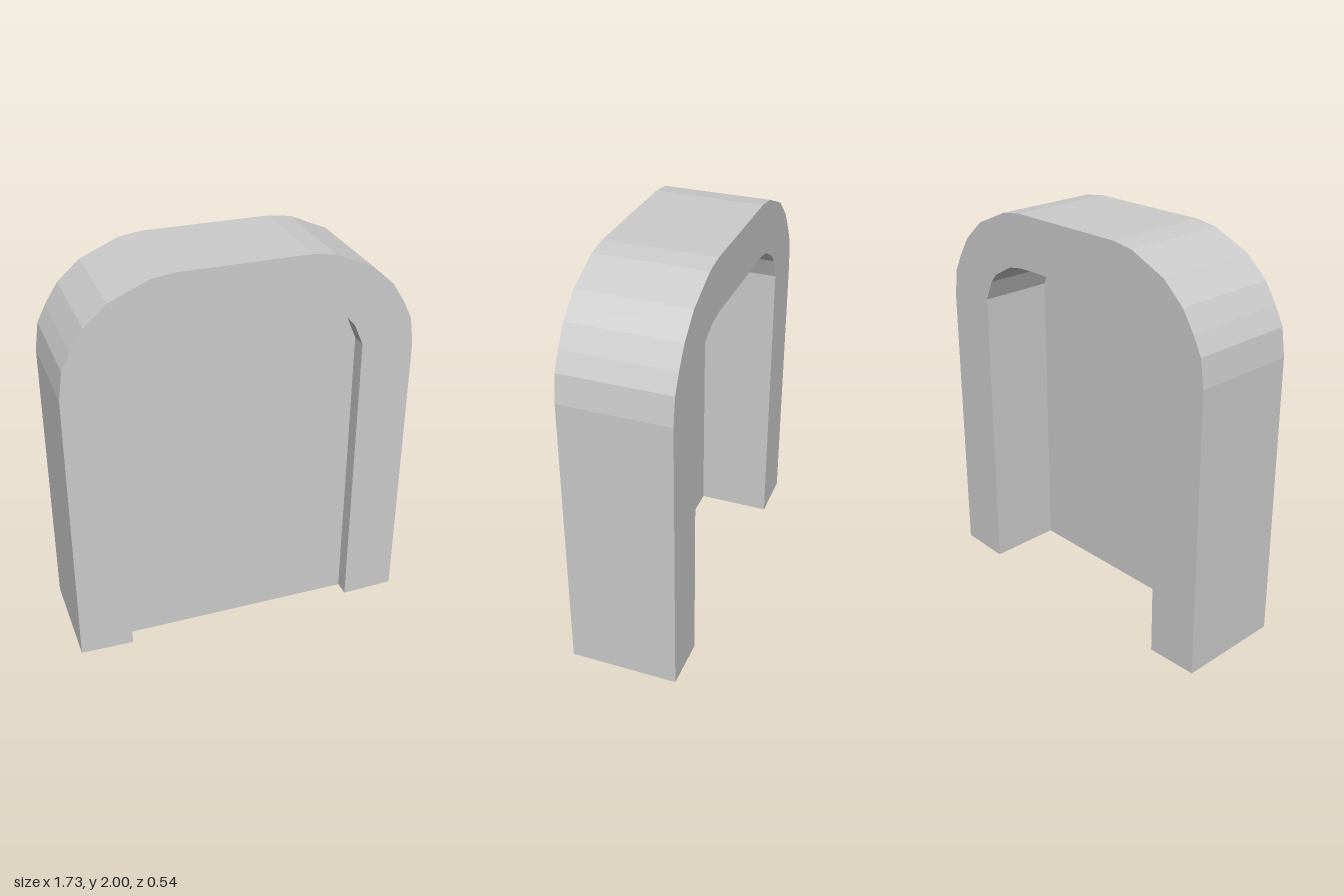
import * as THREE from 'three';

const DEPTH = 0.54;

export function createModel() {
  const group = new THREE.Group();
  group.name = 'archedAlcove';
  const material = new THREE.MeshStandardMaterial({ color: 0xcccccc, flatShading: true });

  // Right half of the arch, from foot to crown
  const outer = [[0.865, 0.01], [0.865, 1.47], [0.845, 1.61], [0.8, 1.7], [0.736, 1.8],
    [0.625, 1.9], [0.433, 1.984], [0.32, 2]];
  const inner = [[0.597, 0.002], [0.597, 1.51], [0.552, 1.614], [0.514, 1.658],
    [0.43, 1.705], [0.395, 1.722], [0.31, 1.735]];
  const mirror = (half) => half.map(([x, y]) => [-x, y]).reverse();

  // Outer outline over the top, then back along the inner opening
  const outline = [...outer, ...mirror(outer), ...mirror(inner).reverse(), ...inner.slice().reverse()];
  const shape = new THREE.Shape(outline.map(([x, y]) => new THREE.Vector2(x, y)));
  const archGeometry = new THREE.ExtrudeGeometry(shape, { depth: DEPTH, bevelEnabled: false });
  archGeometry.translate(0, 0, -DEPTH / 2);
  const arch = new THREE.Mesh(archGeometry, material);
  arch.name = 'archFrame';
  group.add(arch);

  // Thin panel set behind the front edge, its sides buried in the legs
  const panel = new THREE.Mesh(new THREE.BoxGeometry(1.27, 1.705, 0.08), material);
  panel.name = 'panel';
  panel.position.set(0, 1.705 / 2, 0.15);
  group.add(panel);

  return group;
}
